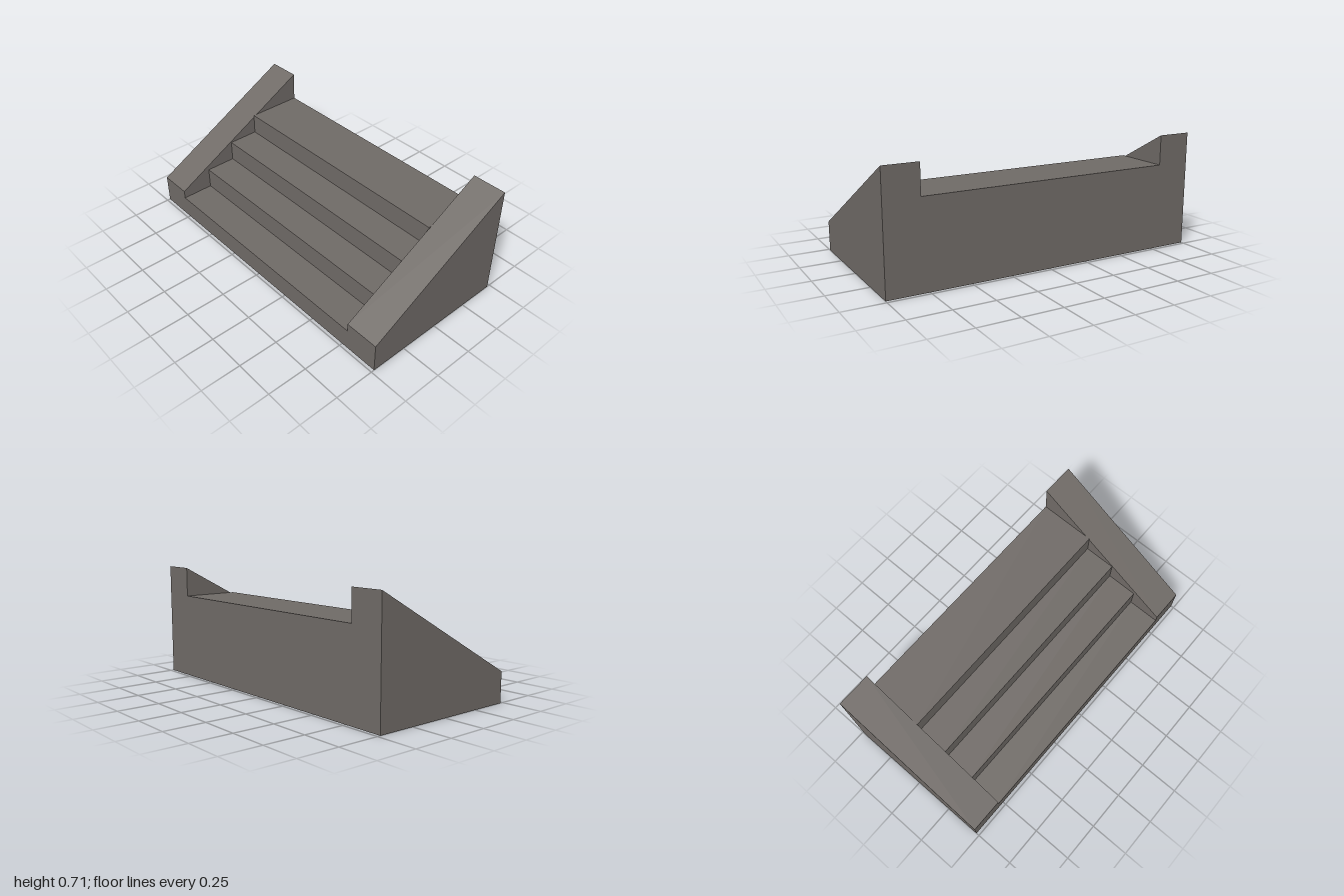
import * as THREE from 'three';

export function createModel() {
  const group = new THREE.Group();
  const stone = new THREE.MeshStandardMaterial({ color: 0x6f6a66 });
  stone.name = 'stone';

  // Extrudes a side profile of [z, y] points across x, centred on the given x
  function addProfile(name, points, width, x) {
    const shape = new THREE.Shape(points.map(([z, y]) => new THREE.Vector2(-z, y)));
    const geometry = new THREE.ExtrudeGeometry(shape, { depth: width, bevelEnabled: false });
    geometry.translate(0, 0, -width / 2);
    geometry.rotateY(Math.PI / 2);
    const mesh = new THREE.Mesh(geometry, stone);
    mesh.name = name;
    mesh.position.x = x;
    group.add(mesh);
  }

  const front = 0.48, back = -0.48;

  // Flight of four steps, the last one a deep landing
  const risers = [front, 0.275, 0.077, -0.123];
  const heights = [0.132, 0.265, 0.397, 0.528];
  const flight = [[back, 0], [front, 0]];
  risers.forEach((z, i) => {
    if (i > 0) flight.push([z, heights[i - 1]]);
    flight.push([z, heights[i]]);
  });
  flight.push([back, heights[3]]);
  addProfile('steps', flight, 1.58, 0);

  // Sloping side walls
  const wall = [[back, 0], [front, 0], [front, 0.185], [back, 0.711]];
  addProfile('leftWall', wall, 0.212, 0.894);
  addProfile('rightWall', wall, 0.212, -0.894);

  return group;
}
